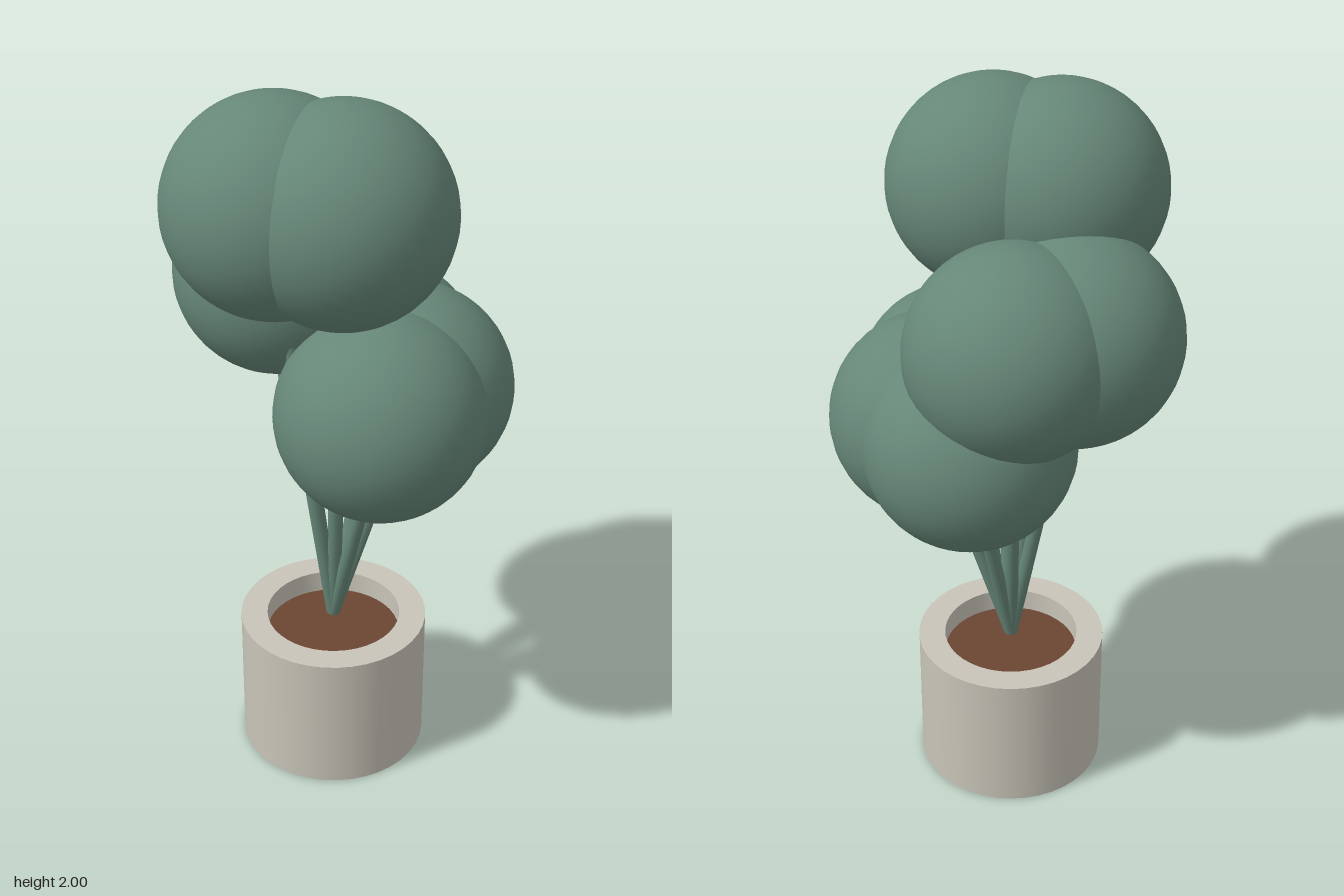
import * as THREE from 'three';

const POT_R = 0.265, HOLE_R = 0.19, POT_H = 0.41, SOIL_Y = 0.345;
const BALL_R = 0.28;

// Centres of the foliage balls, in three tiers
const BALLS = [
  [0.197, 1.15, 0], [0.122, 1.15, -0.16], [-0.048, 1.15, -0.195],
  [-0.15, 1.43, -0.138], [-0.198, 1.43, 0.03],
  [0.015, 1.72, 0.196], [0.165, 1.72, 0.1],
];

function add(parent, name, geometry, material) {
  const mesh = new THREE.Mesh(geometry, material);
  mesh.name = name;
  parent.add(mesh);
  return mesh;
}

function material(name, color) {
  const m = new THREE.MeshStandardMaterial({ color });
  m.name = name;
  return m;
}

// Straight cylinder between two points
function addRod(parent, name, from, to, radius, mat) {
  const dir = to.clone().sub(from);
  const rod = add(parent, name, new THREE.CylinderGeometry(radius, radius, dir.length(), 12), mat);
  rod.position.copy(from).addScaledVector(dir, 0.5);
  rod.quaternion.setFromUnitVectors(new THREE.Vector3(0, 1, 0), dir.normalize());
}

export function createModel() {
  const model = new THREE.Group();
  model.name = 'pottedTopiary';
  const stone = material('paleStone', 0xc8c4b8);
  const soil = material('brownSoil', 0x6b4632);
  const leaf = material('sageGreen', 0x668778);

  // Pot: each profile segment is its own lathe, which keeps the rims sharp
  const pot = new THREE.Group();
  pot.name = 'pot';
  model.add(pot);
  const profile = [[0, 0], [POT_R, 0], [POT_R, POT_H], [HOLE_R, POT_H], [HOLE_R, SOIL_Y]]
    .map(([r, y]) => new THREE.Vector2(r, y));
  ['potBase', 'potWall', 'potRim', 'potInnerWall'].forEach((name, i) =>
    add(pot, name, new THREE.LatheGeometry([profile[i], profile[i + 1]], 40), stone));

  // Soil disc
  const soilDisc = add(pot, 'soil', new THREE.CircleGeometry(HOLE_R, 40), soil);
  soilDisc.rotation.x = -Math.PI / 2;
  soilDisc.position.y = SOIL_Y;

  // Stems fan out from the pot, each carrying a ball of foliage
  const root = new THREE.Vector3(0, POT_H, 0);
  BALLS.forEach(([x, y, z], i) => {
    addRod(model, `stem${i + 1}`, root, new THREE.Vector3(x, y - 0.08, z), 0.02, leaf);
    add(model, `foliageBall${i + 1}`, new THREE.SphereGeometry(BALL_R, 40, 28), leaf)
      .position.set(x, y, z);
  });

  return model;
}
